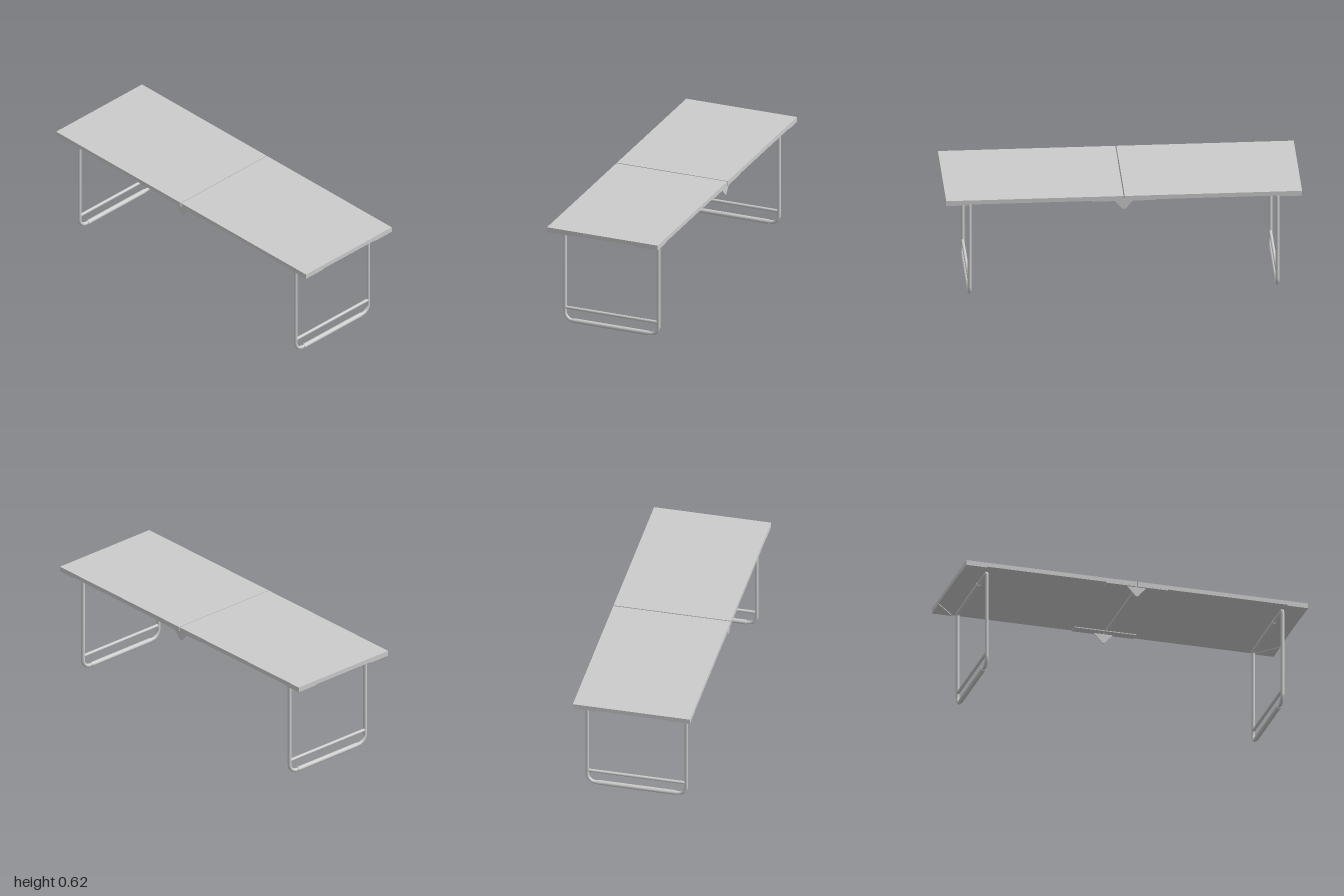
import * as THREE from 'three';

const mat = new THREE.MeshStandardMaterial({ color: 0xcccccc });
const HALF_DEPTH = 0.337, TOP = 0.617, UNDER = 0.592;

function add(parent, name, geometry, x = 0, y = 0, z = 0) {
  const mesh = new THREE.Mesh(geometry, mat);
  mesh.name = name;
  mesh.position.set(x, y, z);
  parent.add(mesh);
  return mesh;
}

// Round bar running along z
function bar(parent, name, radius, length, y) {
  const g = new THREE.CylinderGeometry(radius, radius, length, 24).rotateX(Math.PI / 2);
  return add(parent, name, g, 0, y, 0);
}

// Closed tubular frame in the z-y plane, with rounded corners
function frameTube() {
  const w = 0.285, lo = 0.0135, hi = 0.581, rLo = 0.05, rHi = 0.016;
  const v = (z, y) => new THREE.Vector3(0, y, z);
  const corners = [
    [v(w, lo + rLo), v(w, lo), v(w - rLo, lo)],
    [v(-w + rLo, lo), v(-w, lo), v(-w, lo + rLo)],
    [v(-w, hi - rHi), v(-w, hi), v(-w + rHi, hi)],
    [v(w - rHi, hi), v(w, hi), v(w, hi - rHi)],
  ];
  // Cubic handles approximate quarter circles
  const k = 0.552;
  const path = new THREE.CurvePath();
  corners.forEach(([a, c, b], i) => {
    path.add(new THREE.CubicBezierCurve3(a, a.clone().lerp(c, k), b.clone().lerp(c, k), b));
    path.add(new THREE.LineCurve3(b, corners[(i + 1) % 4][0]));
  });
  return new THREE.TubeGeometry(path, 280, 0.0105, 16, true);
}

// Flat plate from x-z points, lying against the underside
function underPlate(points) {
  const shape = new THREE.Shape(points.map(([x, z]) => new THREE.Vector2(x, z)));
  return new THREE.ExtrudeGeometry(shape, { depth: 0.005, bevelEnabled: false }).rotateX(Math.PI / 2);
}

export function createModel() {
  const model = new THREE.Group();
  model.name = 'foldingTable';

  for (const sx of [-1, 1]) {
    // Half of the tabletop, leaving a narrow fold gap
    add(model, 'tabletopPanel', new THREE.BoxGeometry(0.997, TOP - UNDER, HALF_DEPTH * 2),
      sx * 0.5015, (TOP + UNDER) / 2, 0);

    // Leg frame with pivot sleeve, cross rail and foot sleeve
    const leg = new THREE.Group();
    leg.name = 'legFrame';
    leg.position.x = sx * 0.865;
    add(leg, 'legTube', frameTube());
    bar(leg, 'pivotSleeve', 0.0125, 0.256, 0.5805);
    bar(leg, 'crossRail', 0.009, 0.56, 0.088);
    bar(leg, 'footSleeve', 0.0135, 0.45, 0.0135);
    model.add(leg);

    // Triangular plates under the outer corners
    for (const sz of [-1, 1]) {
      add(model, 'cornerPlate', underPlate([
        [sx, sz * HALF_DEPTH], [sx * 0.88, sz * HALF_DEPTH], [sx, sz * 0.205],
      ]), 0, UNDER, 0);
    }
  }

  // Hinges at both ends of the fold
  for (const sz of [-1, 1]) {
    const hinge = new THREE.Group();
    hinge.name = 'hinge';
    for (const sx of [-1, 1]) {
      add(hinge, 'hingeLeaf', new THREE.BoxGeometry(0.177, 0.005, 0.055),
        sx * 0.0915, UNDER - 0.0025, sz * 0.309);
    }
    // Tapered lug with a rounded tip
    const lug = new THREE.Shape();
    lug.moveTo(-0.06, UNDER);
    lug.lineTo(-0.01, 0.537);
    lug.quadraticCurveTo(0, 0.525, 0.01, 0.537);
    lug.lineTo(0.06, UNDER);
    lug.closePath();
    add(hinge, 'hingeLug', new THREE.ExtrudeGeometry(lug, { depth: 0.005, bevelEnabled: false, curveSegments: 8 }),
      0, 0, sz * 0.3245 - 0.0025);
    model.add(hinge);
  }
  return model;
}
